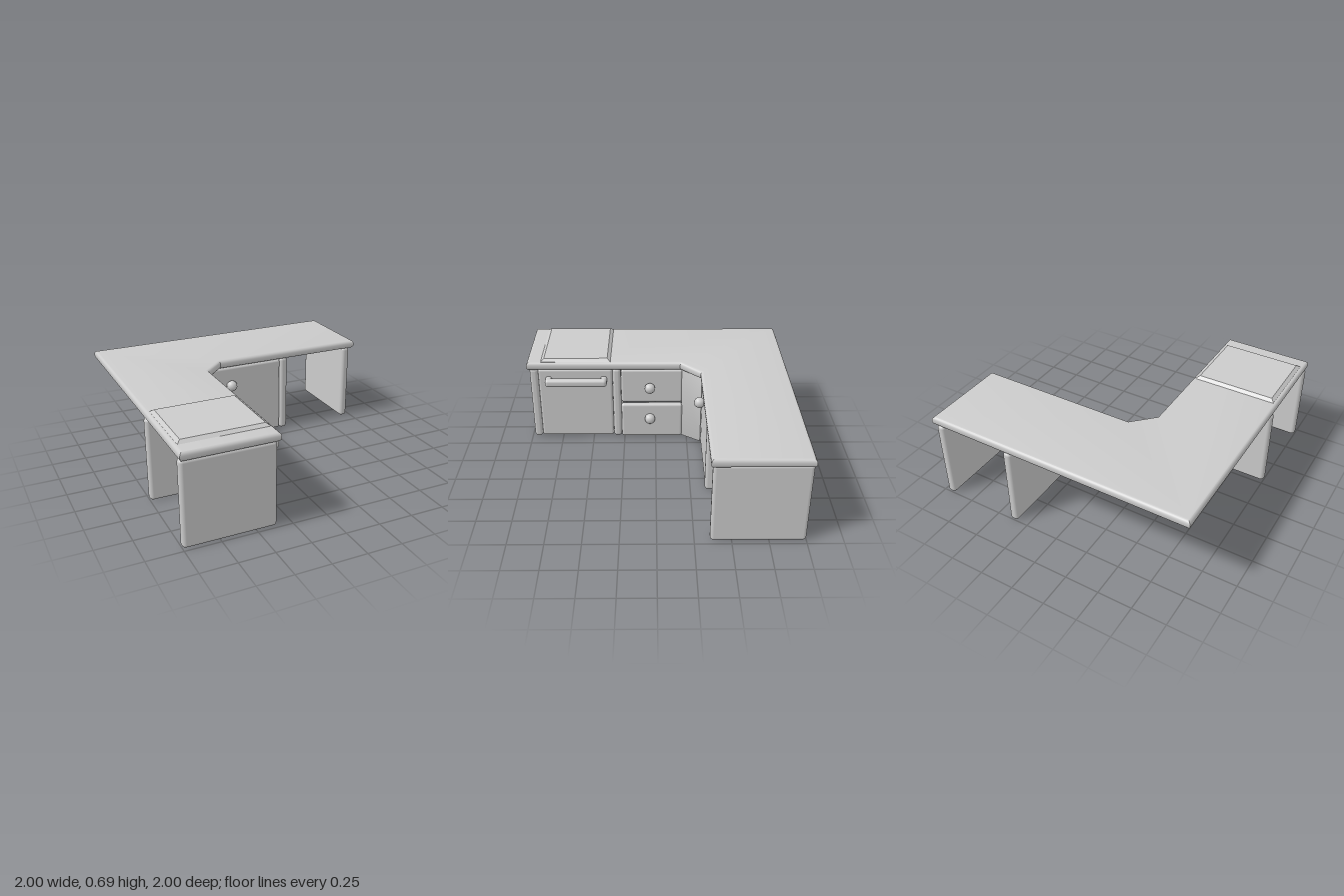
import * as THREE from 'three';
import { RoundedBoxGeometry } from 'three/addons/geometries/RoundedBoxGeometry.js';
import { toCreasedNormals } from 'three/addons/utils/BufferGeometryUtils.js';

export function createModel() {
  const group = new THREE.Group();
  const material = new THREE.MeshStandardMaterial({ color: 0xcccccc });

  function add(name, geometry, x = 0, y = 0, z = 0) {
    const mesh = new THREE.Mesh(geometry, material);
    mesh.name = name;
    mesh.position.set(x, y, z);
    group.add(mesh);
    return mesh;
  }

  // Rounded board given by its limits on each axis
  function board(name, [x0, x1], [y0, y1], [z0, z1], radius = 0.02) {
    const geometry = new RoundedBoxGeometry(x1 - x0, y1 - y0, z1 - z0, 3, radius);
    return add(name, geometry, (x0 + x1) / 2, (y0 + y1) / 2, (z0 + z1) / 2);
  }

  // Horizontal slab from an x/z outline, with bevelled edges inside the outline
  function slab(name, outline, y0, y1, bevel, bevelHeight, segments) {
    const shape = new THREE.Shape(outline.map(([x, z]) => new THREE.Vector2(x, -z)));
    const geometry = new THREE.ExtrudeGeometry(shape, {
      depth: y1 - y0 - 2 * bevelHeight,
      bevelSize: bevel,
      bevelOffset: -bevel,
      bevelThickness: bevelHeight,
      bevelSegments: segments,
    });
    geometry.rotateX(-Math.PI / 2);
    return add(name, toCreasedNormals(geometry, 0.6), 0, y0 + bevelHeight, 0);
  }

  // L-shaped worktop with a cut inner corner
  slab('worktop', [
    [-1, 1], [-0.34, 1], [-0.34, -0.19], [-0.19, -0.34],
    [1, -0.34], [1, -1], [-1, -1],
  ], 0.605, 0.67, 0.025, 0.025, 4);

  // Raised hob plate
  slab('hob', [[-0.975, 0.89], [-0.36, 0.89], [-0.36, 0.35], [-0.975, 0.35]],
    0.645, 0.69, 0.025, 0.02, 1);

  // Upright panels carrying both wings
  const height = [0, 0.61];
  for (const z of [0.95, 0.305]) board('sidePanel', [-1, -0.355], height, [z - 0.032, z + 0.032], 0.025);
  for (const x of [0.365, 0.94]) board('legPanel', [x - 0.032, x + 0.032], height, [-1, -0.355], 0.025);

  // Fronts: oven door, two drawers, cupboard door
  board('ovenDoor', [-0.41, -0.36], [0.005, 0.605], [0.338, 0.917]);
  board('upperDrawer', [-0.41, -0.36], [0.31, 0.6], [-0.213, 0.272]);
  board('lowerDrawer', [-0.395, -0.345], [0.005, 0.3], [-0.213, 0.272]);
  board('cupboardDoor', [-0.26, 0.332], [0.005, 0.6], [-0.41, -0.36]);

  // Angled filler post in the inner corner
  slab('cornerPost', [[-0.36, -0.205], [-0.255, -0.355], [-0.305, -0.375], [-0.375, -0.275]],
    0.005, 0.61, 0.01, 0.01, 2);

  // Round knobs
  for (const [x, y, z] of [[-0.325, 0.455, 0.045], [-0.325, 0.18, 0.045], [-0.1, 0.455, -0.332]]) {
    add('knob', new THREE.SphereGeometry(0.042, 10, 8), x, y, z);
  }

  // Oven handle: bar on two brackets
  board('handleBar', [-0.335, -0.278], [0.485, 0.55], [0.38, 0.86], 0.025);
  for (const z of [0.405, 0.835]) {
    board('handleBracket', [-0.385, -0.29], [0.49, 0.545], [z - 0.025, z + 0.025]);
  }

  return group;
}
